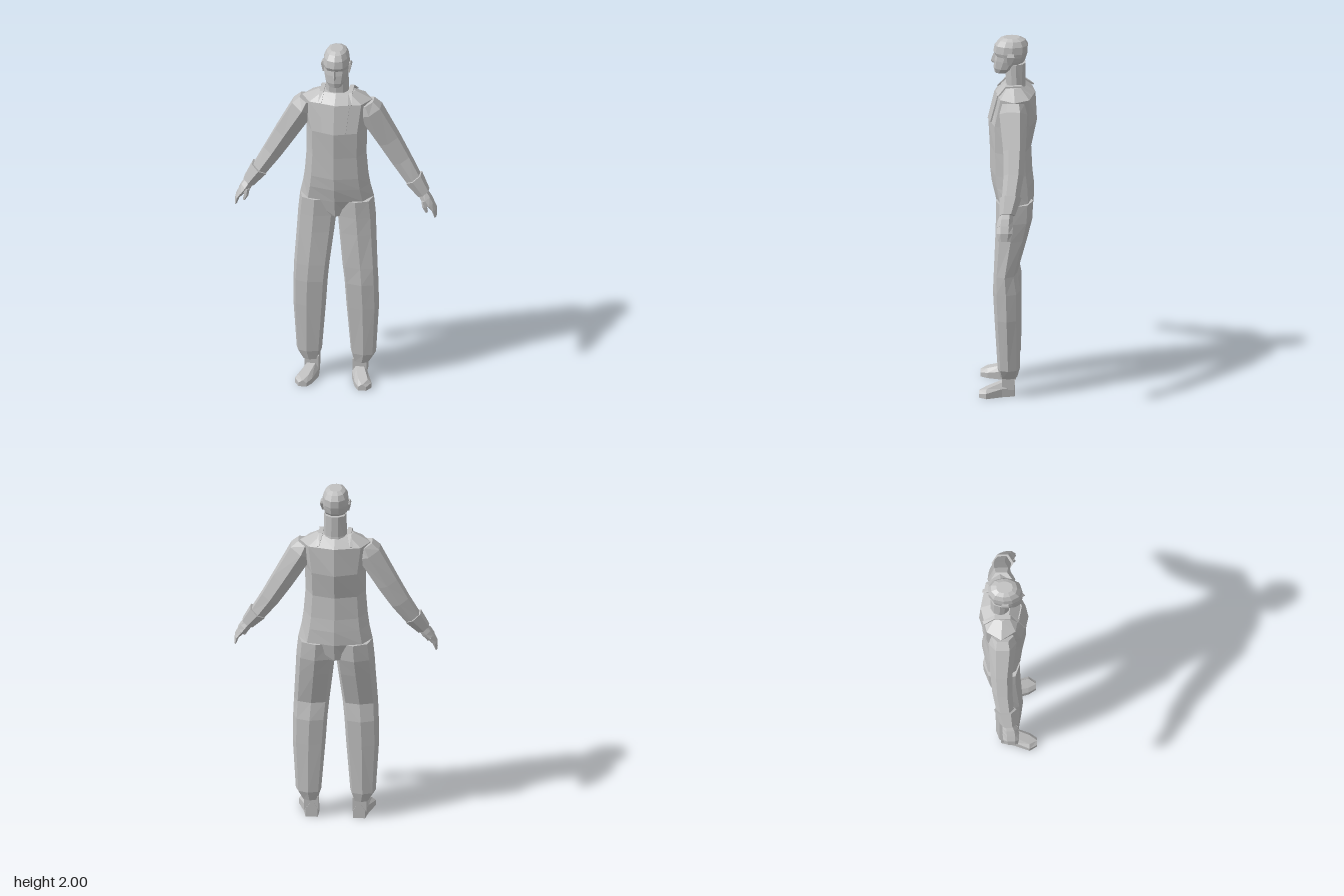
import * as THREE from 'three';

const grey = new THREE.MeshStandardMaterial({ color: 0xc0c0c0, flatShading: true });
grey.name = 'plain grey';

// Closed skin over a list of rings, turned outward by its signed volume
function loft(name, rings) {
  const tris = [];
  const n = rings[0].length;
  const cap = (ring, flip) => {
    const c = ring.reduce((a, p) => a.add(p), new THREE.Vector3()).divideScalar(n);
    ring.forEach((p, i) => {
      const q = ring[(i + 1) % n];
      tris.push(flip ? [c, q, p] : [c, p, q]);
    });
  };
  for (let r = 0; r < rings.length - 1; r++) {
    for (let i = 0; i < n; i++) {
      const j = (i + 1) % n;
      const [a, b, c, d] = [rings[r][i], rings[r][j], rings[r + 1][j], rings[r + 1][i]];
      tris.push([a, b, c], [a, c, d]);
    }
  }
  cap(rings[0], true);
  cap(rings[rings.length - 1], false);
  const volume = tris.reduce((v, [a, b, c]) => v + a.dot(b.clone().cross(c)), 0);
  const pts = tris.flatMap(([a, b, c]) => (volume < 0 ? [a, c, b] : [a, b, c]));
  const geo = new THREE.BufferGeometry().setFromPoints(pts);
  geo.computeVertexNormals();
  const mesh = new THREE.Mesh(geo, grey);
  mesh.name = name;
  return mesh;
}

// Horizontal ring: unit section (u across, v back to front) fitted into a box
const ringY = (section, y, x0, x1, z0, z1) => section.map(([u, v]) =>
  new THREE.Vector3(x0 + (x1 - x0) * u, y, z0 + (z1 - z0) * v));

const TORSO = [[0.5, 1], [0.13, 0.86], [0, 0.5], [0.13, 0.14], [0.5, 0], [0.87, 0.14], [1, 0.5], [0.87, 0.86]];
const LEG = [[0.55, 1], [0.1, 0.88], [0, 0.5], [0.1, 0.12], [0.5, 0], [0.88, 0.15], [1, 0.52], [0.9, 0.87]];
const HEAD = [[0.5, 1], [0.2, 0.93], [0.04, 0.7], [0, 0.45], [0.1, 0.15], [0.35, 0],
  [0.65, 0], [0.9, 0.15], [1, 0.45], [0.96, 0.7], [0.8, 0.93]];
const BOX = [[0, 0], [1, 0], [1, 1], [0, 1]];

// Rows are [y, half width, back z, front z]
const centred = (name, section, rows) =>
  loft(name, rows.map(([y, w, z0, z1]) => ringY(section, y, -w, w, z0, z1)));

// Rings square to a limb path; rows are [x, y, z, half thickness, half depth]
function limb(name, s, rows, sides = 6) {
  return loft(name, rows.map(([x, y, z, a, b], i) => {
    const p = rows[Math.max(0, i - 1)], q = rows[Math.min(rows.length - 1, i + 1)];
    const d = new THREE.Vector2(q[0] - p[0], q[1] - p[1]).normalize();
    return Array.from({ length: sides }, (_, k) => {
      const t = (k + 0.5) / sides * Math.PI * 2;
      const m = a * Math.cos(t) / Math.cos(Math.PI / sides);
      return new THREE.Vector3(s * (x - d.y * m), y + d.x * m, z + b * Math.sin(t));
    });
  }));
}

// Thin cloth band; rows are [y, z, inner x, outer x, inner drop, outer drop, thickness direction y, z]
function band(name, s, rows) {
  return loft(name, rows.map(([y, z, xa, xb, drop, ny, nz]) => {
    const t = 0.008;
    const a = new THREE.Vector3(s * xa, y, z);
    const b = new THREE.Vector3(s * xb, y, z - drop);
    const off = new THREE.Vector3(0, ny * t, nz * t);
    return [a, b, b.clone().add(off), a.clone().add(off)];
  }));
}

function createSide(s) {
  const side = new THREE.Group();
  side.name = s > 0 ? 'leftSide' : 'rightSide';
  const mirror = (rows, section) => rows.map(([y, x0, x1, z0, z1]) => ringY(section, y, s * x0, s * x1, z0, z1));

  // Baggy trouser leg gathered at the ankle
  side.add(loft('trouserLeg', mirror([
    [1.1, 0, 0.2, -0.135, 0.065], [1.0, 0.002, 0.21, -0.13, 0.065], [0.9, 0.012, 0.215, -0.105, 0.068],
    [0.7, 0.035, 0.226, -0.05, 0.076], [0.6, 0.045, 0.23, -0.068, 0.08], [0.45, 0.055, 0.232, -0.067, 0.072],
    [0.16, 0.078, 0.215, -0.065, 0.055], [0.105, 0.095, 0.182, -0.05, 0.042],
  ], LEG)));
  side.add(loft('ankle', mirror([
    [0.12, 0.092, 0.168, -0.035, 0.03], [0.04, 0.092, 0.168, -0.035, 0.03],
  ], BOX)));

  // Foot, turned slightly outward; rows are [z, inner x, outer x, height]
  const footRows = [[-0.037, 0.095, 0.16, 0.08], [0.03, 0.09, 0.175, 0.078], [0.115, 0.115, 0.207, 0.05], [0.154, 0.14, 0.183, 0.036]];
  side.add(loft('foot', footRows.map(([z, a, b, h]) => [[a, 0], [b, 0], [b, h * 0.6], [b - 0.02, h], [a + 0.02, h], [a, h * 0.6]]
    .map(([x, y]) => new THREE.Vector3(s * x, y, z)))));

  // Sleeve, cuff and hand
  side.add(limb('sleeve', s, [
    [0.16, 1.675, -0.03, 0.042, 0.06], [0.182, 1.625, -0.03, 0.064, 0.075], [0.283, 1.45, -0.038, 0.057, 0.06],
    [0.35, 1.335, -0.035, 0.05, 0.054], [0.422, 1.222, -0.02, 0.04, 0.047],
  ]));
  side.add(limb('cuff', s, [[0.418, 1.235, -0.02, 0.047, 0.06], [0.474, 1.155, -0.004, 0.033, 0.042]]));
  side.add(limb('palm', s, [
    [0.462, 1.17, -0.003, 0.024, 0.03], [0.488, 1.13, 0.006, 0.027, 0.042], [0.51, 1.1, 0.01, 0.022, 0.044],
  ]));
  side.add(limb('fingers', s, [
    [0.508, 1.105, 0.008, 0.019, 0.044], [0.532, 1.07, 0.01, 0.012, 0.042], [0.54, 1.03, 0.012, 0.006, 0.034],
  ]));
  side.add(limb('thumb', s, [
    [0.482, 1.125, 0.032, 0.014, 0.016], [0.484, 1.09, 0.038, 0.011, 0.014], [0.495, 1.06, 0.038, 0.006, 0.01],
  ], 5));

  // Half of the bib, and the strap over the shoulder
  side.add(band('bib', s, [[1.535, 0.104, 0, 0.064, 0.015, 0.2, 1], [1.69, 0.068, 0, 0.08, 0.018, 0.2, 1]]));
  side.add(band('strap', s, [
    [1.69, 0.058, 0.072, 0.092, 0.01, 0.6, 0.8], [1.738, 0.012, 0.066, 0.088, 0, 1, 0.2],
    [1.742, -0.07, 0.066, 0.088, 0, 1, -0.2], [1.697, -0.13, 0.082, 0.102, -0.006, 0.6, -0.8],
  ]));

  // Ear
  side.add(loft('ear', [[1.925, 0.076, -0.03, 0.004], [1.91, 0.083, -0.034, 0.006], [1.865, 0.073, -0.016, 0.004]]
    .map(([y, x, z0, z1]) => ringY(BOX, y, s * 0.055, s * x, z0, z1))));
  return side;
}

export function createModel() {
  const model = new THREE.Group();
  model.name = 'standingFigure';

  model.add(centred('torso', TORSO, [
    [1.0, 0.09, -0.12, 0.05], [1.1, 0.2, -0.138, 0.072], [1.18, 0.182, -0.136, 0.09], [1.25, 0.172, -0.128, 0.098],
    [1.38, 0.162, -0.122, 0.1], [1.53, 0.165, -0.153, 0.108], [1.69, 0.19, -0.145, 0.07], [1.738, 0.1, -0.08, 0.018],
  ]));
  model.add(centred('neck', HEAD, [
    [1.68, 0.07, -0.1, 0.035], [1.74, 0.063, -0.09, 0.012], [1.86, 0.06, -0.092, 0.02],
  ]));
  model.add(centred('head', HEAD, [
    [1.803, 0.036, 0.0, 0.074], [1.83, 0.056, -0.05, 0.08], [1.875, 0.067, -0.088, 0.076], [1.9, 0.07, -0.096, 0.07],
    [1.92, 0.072, -0.102, 0.081], [1.96, 0.068, -0.104, 0.074], [1.988, 0.054, -0.088, 0.052], [2.0, 0.034, -0.06, 0.028],
  ]));
  model.add(centred('nose', [[0, 0], [1, 0], [0.5, 1]], [
    [1.854, 0.014, 0.06, 0.086], [1.866, 0.014, 0.06, 0.095], [1.908, 0.006, 0.06, 0.08],
  ]));

  model.add(createSide(1), createSide(-1));
  return model;
}
